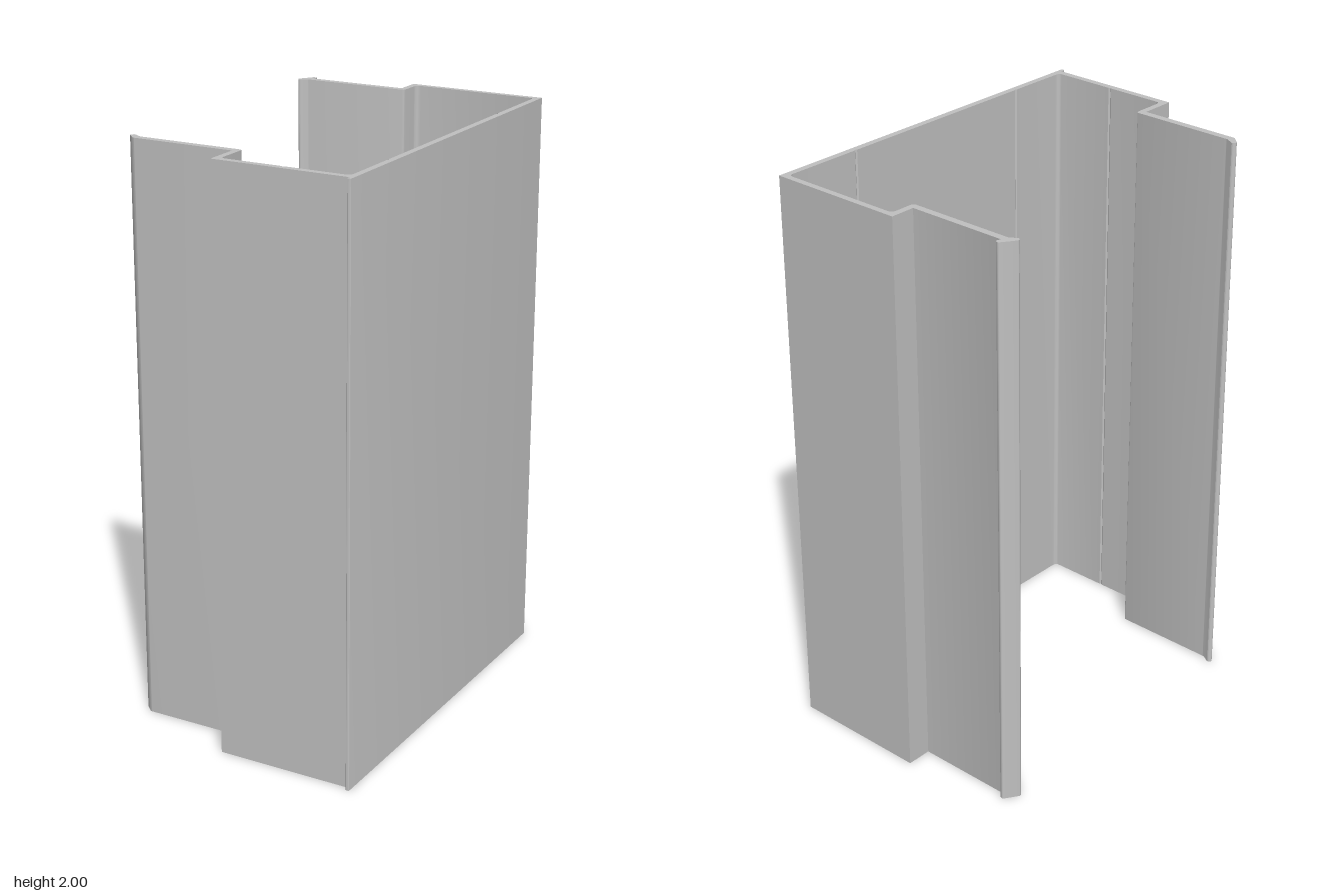
import * as THREE from 'three';
import { toCreasedNormals } from 'three/addons/utils/BufferGeometryUtils.js';

const HEIGHT = 2;

// Cross-section as [x, z, cornerRadius], once around the thin wall.
const PROFILE = [
  // outer face of the web, with the small nib on its front corner
  [0.44, -0.667, 0], [0.44, 0.665, 0.005], [0.427, 0.665, 0.005], [0.427, 0.648, 0],
  // front flange, outer side, then step and lip
  [-0.05, 0.648, 0], [-0.05, 0.525, 0], [-0.415, 0.525, 0.005],
  [-0.448, 0.494, 0.007], [-0.436, 0.481, 0.007], [-0.405, 0.5, 0.005],
  [-0.028, 0.5, 0.012], [-0.028, 0.625, 0.018],
  // scribe groove inside the front flange
  [0.185, 0.625, 0], [0.19, 0.629, 0], [0.195, 0.625, 0],
  [0.418, 0.625, 0.018],
  // two scribe grooves inside the web
  [0.418, 0.405, 0], [0.422, 0.4, 0], [0.418, 0.395, 0],
  [0.418, -0.353, 0], [0.422, -0.358, 0], [0.418, -0.363, 0],
  // back flange, inner side, then step and hooked lip
  [0.418, -0.646, 0.018], [-0.028, -0.646, 0.018], [-0.028, -0.555, 0.012],
  [-0.41, -0.555, 0.005], [-0.438, -0.537, 0.007], [-0.448, -0.549, 0.007],
  [-0.412, -0.603, 0.006], [-0.398, -0.597, 0.004], [-0.403, -0.579, 0.003],
  [-0.05, -0.579, 0], [-0.05, -0.667, 0],
];

// Closed shape with a short curve at each rounded corner.
function roundedShape(profile) {
  const shape = new THREE.Shape();
  const points = profile.map(([x, z]) => new THREE.Vector2(x, -z));
  const n = points.length;
  points.forEach((p, i) => {
    const r = profile[i][2];
    const toward = (q) => q.clone().sub(p).setLength(r).add(p);
    const a = r ? toward(points[(i + n - 1) % n]) : p;
    const b = r ? toward(points[(i + 1) % n]) : p;
    if (i === 0) shape.moveTo(a.x, a.y);
    else shape.lineTo(a.x, a.y);
    if (r) shape.quadraticCurveTo(p.x, p.y, b.x, b.y);
  });
  shape.closePath();
  return shape;
}

export function createModel() {
  const group = new THREE.Group();
  group.name = 'channelProfile';

  const metal = new THREE.MeshStandardMaterial({ color: 0xc0c0c0 });
  metal.name = 'light grey';

  // The section is drawn flat, extruded and stood upright.
  const geometry = new THREE.ExtrudeGeometry(roundedShape(PROFILE), {
    depth: HEIGHT, bevelEnabled: false, curveSegments: 5,
  });
  geometry.rotateX(-Math.PI / 2);

  const channel = new THREE.Mesh(toCreasedNormals(geometry, 0.5), metal);
  channel.name = 'extrudedChannel';
  group.add(channel);
  return group;
}
